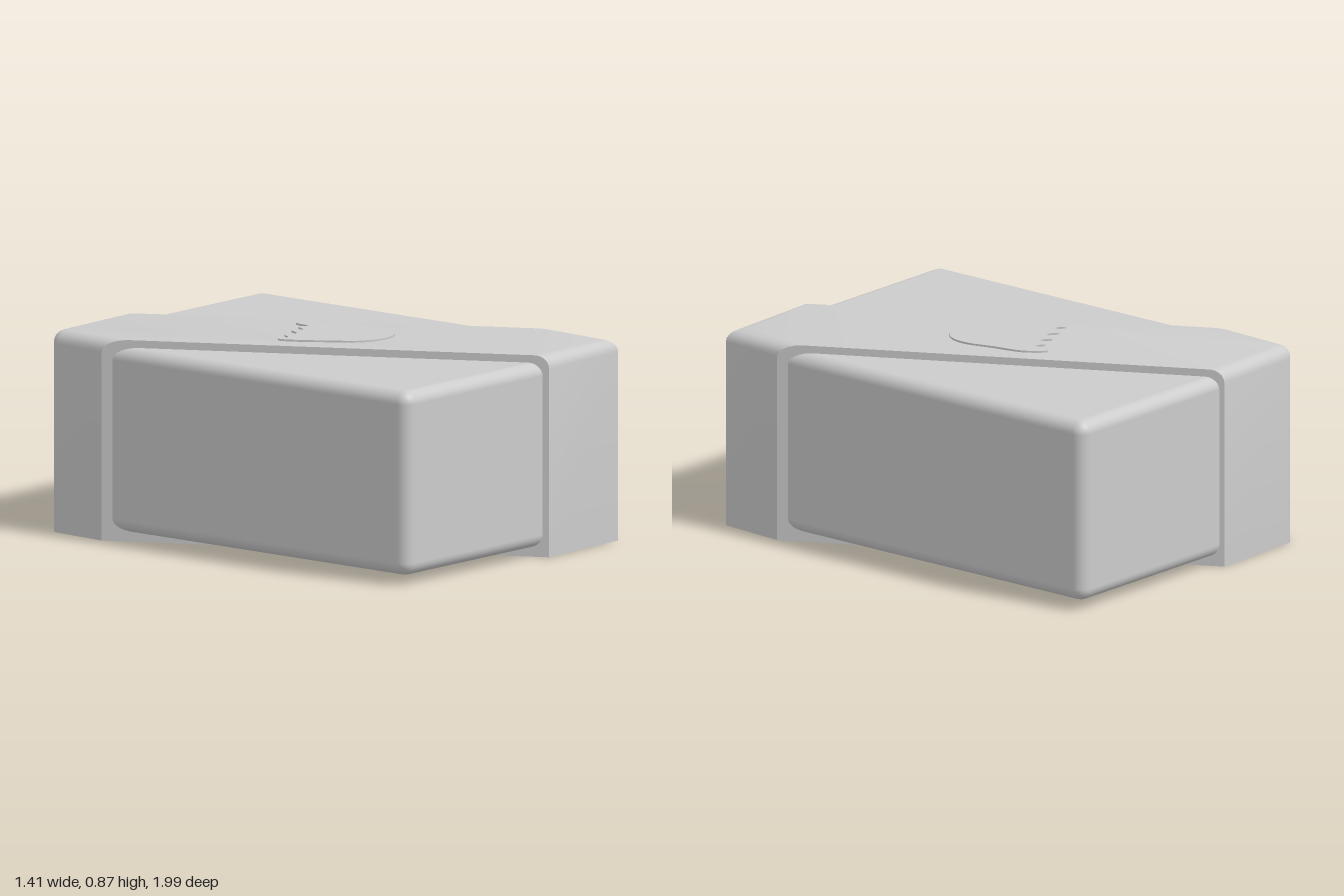
import * as THREE from 'three';
import { toCreasedNormals } from 'three/addons/utils/BufferGeometryUtils.js';
import { RoundedBoxGeometry } from 'three/addons/geometries/RoundedBoxGeometry.js';

// Footprint of the diagonal band; d pulls in its two ends along the straight long sides.
function bandOutline(d) {
  const pts = [
    [0.21 - d * 0.548, 0.997 - d],
    [0.682 - d, 0.977 - d],
    [0.707 - d, 0.675 - d * 1.82],
    [-0.21 + d * 0.548, -0.997 + d],
  ];
  const r = 0.06 - d, steps = 6;
  for (let i = 0; i <= steps; i++) {
    const t = (i / steps) * Math.PI / 2;
    pts.push([-0.63 - r * Math.sin(t), -0.923 - r * Math.cos(t)]);
  }
  pts.push([-0.707 + d, -0.675 + d * 1.82]);
  return pts;
}

// Stack outlines from the flat base up over the rounded top edge.
function bandGeometry() {
  const top = 0.857, round = 0.055, steps = 5;
  const layers = [{ y: 0, d: 0 }];
  for (let i = 0; i <= steps; i++) {
    const t = (i / steps) * Math.PI / 2;
    layers.push({ y: top - round + round * Math.sin(t), d: round * (1 - Math.cos(t)) });
  }
  const pos = [], idx = [];
  let n = 0;
  for (const { y, d } of layers) {
    const loop = bandOutline(d);
    n = loop.length;
    for (const [x, z] of loop) pos.push(x, y, z);
  }
  for (let l = 0; l < layers.length - 1; l++) {
    for (let i = 0; i < n; i++) {
      const a = l * n + i, b = l * n + (i + 1) % n;
      idx.push(a, b, b + n, a, b + n, a + n);
    }
  }
  const last = (layers.length - 1) * n;
  for (let i = 1; i < n - 1; i++) {
    idx.push(0, i + 1, i);
    idx.push(last, last + i, last + i + 1);
  }
  const geo = new THREE.BufferGeometry();
  geo.setAttribute('position', new THREE.Float32BufferAttribute(pos, 3));
  geo.setIndex(idx);
  return toCreasedNormals(geo, 0.5);
}

// Thin raised emblem: rounded bowl with a wavy rim.
function emblemGeometry() {
  const toShape = ([x, z]) => new THREE.Vector2(x, -z);
  const bowl = [
    [-0.26, -0.08], [-0.22, 0], [-0.15, 0.1], [-0.08, 0.195], [0.02, 0.24],
    [0.12, 0.225], [0.185, 0.16], [0.2, 0.07], [0.17, -0.05], [0.14, -0.18], [0.08, -0.26],
  ];
  const rim = [
    [0.058, -0.25], [0.045, -0.18], [0.005, -0.2], [-0.03, -0.145], [-0.075, -0.17],
    [-0.11, -0.11], [-0.16, -0.135], [-0.205, -0.08], [-0.24, -0.102],
  ];
  const curve = new THREE.SplineCurve([...bowl, ...rim, bowl[0]].map(toShape));
  const pts = curve.getPoints(100);
  pts.pop();
  const geo = new THREE.ExtrudeGeometry(new THREE.Shape(pts), { depth: 0.02, bevelEnabled: false });
  geo.rotateX(-Math.PI / 2);
  geo.translate(0, 0.845, 0);
  return geo;
}

export function createModel() {
  const group = new THREE.Group();
  const material = new THREE.MeshStandardMaterial({ color: 0xcccccc });
  const add = (name, geometry) => {
    const mesh = new THREE.Mesh(geometry, material);
    mesh.name = name;
    group.add(mesh);
    return mesh;
  };

  // Rounded block held inside the band
  add('block', new RoundedBoxGeometry(1.37, 0.785, 1.95, 5, 0.055)).position.set(0, 0.4325, -0.003);
  // Wide diagonal band wrapped over two opposite corners
  add('diagonalBand', bandGeometry());
  // Raised emblem on top of the band
  add('emblem', emblemGeometry());

  return group;
}
